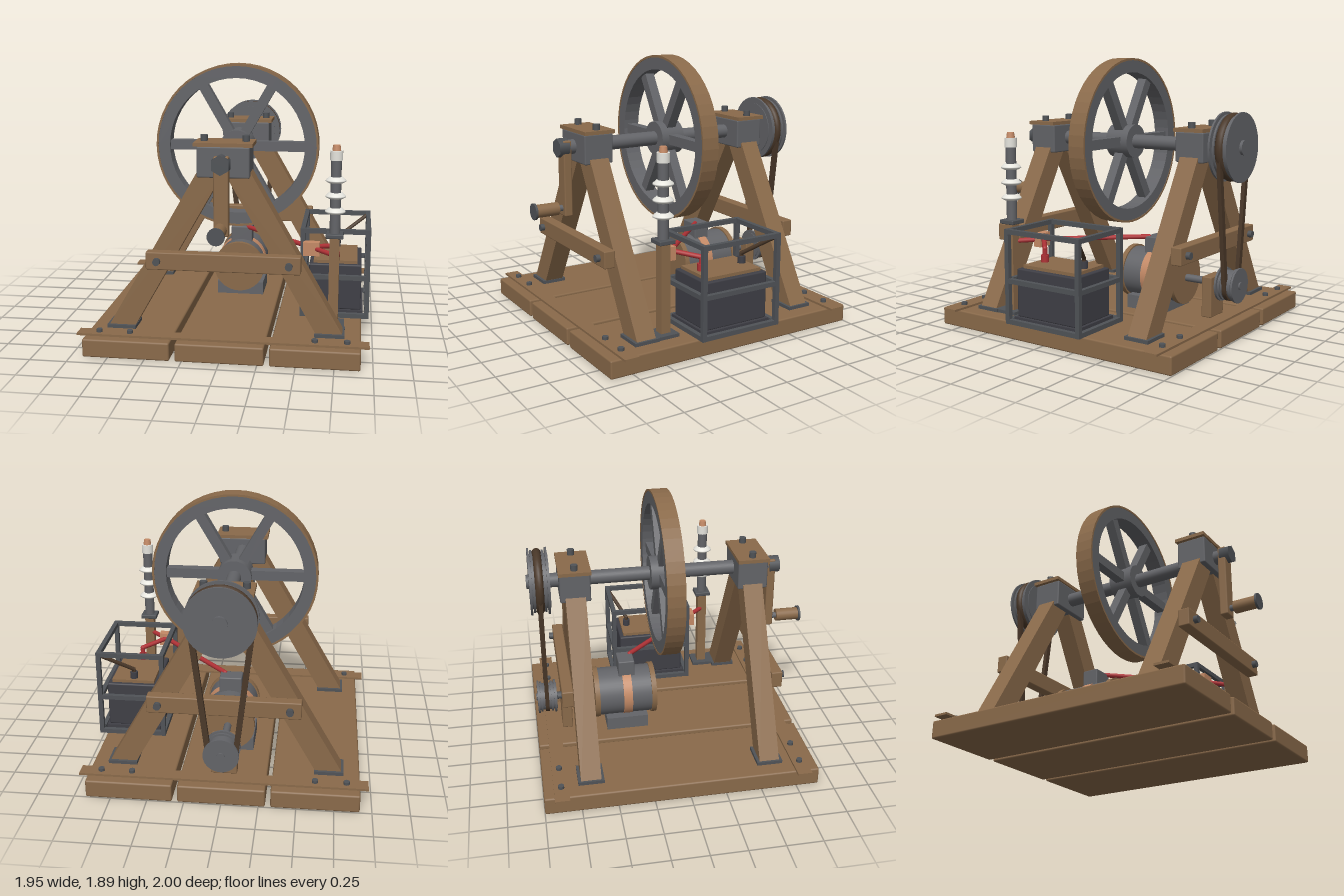
import * as THREE from 'three';
import { RoundedBoxGeometry } from 'three/addons/geometries/RoundedBoxGeometry.js';

const mat = (name, color, side = THREE.FrontSide) => {
  const m = new THREE.MeshStandardMaterial({ color, side });
  m.name = name;
  return m;
};

export function createModel() {
  const wood = mat('wood', 0x8a6a4a);
  const steel = mat('steel', 0x636468);
  const darkSteel = mat('darkSteel', 0x505357);
  const black = mat('batteryCase', 0x3f3f46);
  const belting = mat('darkLeather', 0x4a3829);
  const red = mat('redInsulation', 0xb03236);
  const copper = mat('copper', 0xc48a66);
  const white = mat('porcelain', 0xe6e5de);

  const model = new THREE.Group();
  model.name = 'flywheelGenerator';
  const add = (name, geo, m, x = 0, y = 0, z = 0, parent = model) => {
    const mesh = new THREE.Mesh(geo, m);
    mesh.name = name;
    mesh.position.set(x, y, z);
    parent.add(mesh);
    return mesh;
  };
  // Boxes are given by their limits on each axis
  const box = (name, m, x0, x1, y0, y1, z0, z1, r = 0) => {
    const s = [x1 - x0, y1 - y0, z1 - z0];
    const geo = r ? new RoundedBoxGeometry(...s, 1, r) : new THREE.BoxGeometry(...s);
    return add(name, geo, m, (x0 + x1) / 2, (y0 + y1) / 2, (z0 + z1) / 2);
  };
  const rodY = (name, m, r, x, z, y0, y1, n = 20, rTop = r) =>
    add(name, new THREE.CylinderGeometry(rTop, r, y1 - y0, n), m, x, (y0 + y1) / 2, z);
  const rodZ = (name, m, r, x, y, z0, z1, n = 32) =>
    add(name, new THREE.CylinderGeometry(r, r, z1 - z0, n).rotateX(Math.PI / 2), m, x, y, (z0 + z1) / 2);
  const wire = (name, m, r, pts) => {
    const path = new THREE.CurvePath();
    const v = pts.map(p => new THREE.Vector3(...p));
    for (let i = 1; i < v.length; i++) path.add(new THREE.LineCurve3(v[i - 1], v[i]));
    add(name, new THREE.TubeGeometry(path, 24, r, 10), m);
    for (const p of pts) add(name + 'Joint', new THREE.SphereGeometry(r, 10, 8), m, ...p);
  };
  const extrude = (shape, z0, z1, n = 24) =>
    new THREE.ExtrudeGeometry(shape, { depth: z1 - z0, bevelEnabled: false, curveSegments: n }).translate(0, 0, z0);
  const ring = (outer, inner) => {
    const s = new THREE.Shape().absarc(0, 0, outer, 0, Math.PI * 2);
    s.holes.push(new THREE.Path().absarc(0, 0, inner, 0, Math.PI * 2, true));
    return s;
  };

  // Plank base with two bolted battens
  for (const [x0, x1] of [[-0.92, -0.33], [-0.295, 0.295], [0.33, 0.92]])
    box('basePlank', wood, x0, x1, 0, 0.125, -1, 0.91, 0.012);
  for (const z of [-0.88, 0.79]) {
    box('batten', wood, -0.975, 0.975, 0.125, 0.14, z - 0.05, z + 0.05);
    for (const x of [-0.83, -0.62, 0.62, 0.83]) rodY('battenBolt', darkSteel, 0.021, x, z, 0.14, 0.16, 12);
  }

  // Two A-frames with bearing blocks; out is the outward z direction
  const legShape = new THREE.Shape([[-0.805, 0.13], [-0.625, 0.13], [0.005, 1.24], [-0.17, 1.24]]
    .map(p => new THREE.Vector2(...p)));
  for (const [z, out] of [[0.583, 1], [-0.672, -1]]) {
    for (const side of [-1, 1]) {
      const leg = add('leg', extrude(legShape, -0.07, 0.07), wood, 0, 0, z);
      if (side > 0) leg.rotation.y = Math.PI;
      box('footPlate', darkSteel, side * 0.71 - 0.1, side * 0.71 + 0.1, 0.125, 0.148, z - 0.09, z + 0.09);
      rodY('capBolt', darkSteel, 0.025, side * 0.14, z, 1.42, 1.465, 12);
      const face = z + out * 0.15;
      rodZ('crossbarBolt', darkSteel, 0.025, side * 0.44, 0.63, face - 0.03, face + 0.03, 12);
    }
    box('bearingBlock', steel, -0.175, 0.175, 1.195, 1.4, z - 0.107, z + 0.107, 0.01);
    box('bearingCap', wood, -0.195, 0.195, 1.4, 1.425, z - 0.113, z + 0.113);
    const c = z + out * 0.11;
    box('crossbar', wood, -0.517, 0.517, 0.57, 0.69, c - 0.04, c + 0.04, 0.008);
  }

  // Main shaft and flywheel
  rodZ('mainShaft', steel, 0.05, 0, 1.3, -1, 0.8);
  const wheel = new THREE.Group();
  wheel.name = 'flywheel';
  wheel.position.set(0, 1.3, -0.043);
  model.add(wheel);
  add('wheelTyre', extrude(ring(0.59, 0.575), -0.063, 0.063), wood, 0, 0, 0, wheel);
  add('wheelRim', extrude(ring(0.575, 0.49), -0.06, 0.06), steel, 0, 0, 0, wheel);
  add('wheelHub', new THREE.CylinderGeometry(0.12, 0.12, 0.18, 32).rotateX(Math.PI / 2), steel, 0, 0, 0, wheel);
  for (let i = 0; i < 6; i++)
    add('spoke', new THREE.BoxGeometry(0.42, 0.07, 0.07).translate(0.3, 0, 0), steel, 0, 0, 0, wheel)
      .rotation.z = i * Math.PI / 3;

  // Hand crank
  rodZ('crankNut', darkSteel, 0.066, 0, 1.3, 0.74, 0.815, 6);
  box('crankArm', wood, -0.05, 0.05, 0.825, 1.35, 0.725, 0.785, 0.01);
  rodZ('handlePin', steel, 0.022, 0, 0.88, 0.78, 0.985, 16);
  rodZ('handleGrip', wood, 0.045, 0, 0.88, 0.82, 0.985, 24);
  rodZ('handleCap', darkSteel, 0.057, 0, 0.88, 0.985, 1, 24);

  // Pulleys and belt
  const pulley = (name, y, r) => {
    rodZ(name + 'Core', steel, r * 0.82, 0, y, -0.98, -0.84);
    for (const [z, s] of [[-0.852, 1], [-0.875, 0.93], [-0.953, 0.93], [-0.974, 1]])
      rodZ(name + 'Flange', steel, r * s, 0, y, z - 0.007, z + 0.007, 40);
  };
  pulley('largePulley', 1.3, 0.235);
  pulley('smallPulley', 0.36, 0.12);
  const loop = (Type, R, r) => {
    const a = Math.asin((R - r) / 0.94);
    return new Type().absarc(0, 1.3, R, -a, Math.PI + a).absarc(0, 0.36, r, Math.PI + a, Math.PI * 2 - a);
  };
  const beltShape = loop(THREE.Shape, 0.222, 0.112);
  beltShape.holes.push(loop(THREE.Path, 0.184, 0.074));
  add('driveBelt', extrude(beltShape, -0.928, -0.9), belting);
  add('beltWrap', new THREE.TorusGeometry(0.202, 0.03, 10, 40), belting, 0, 1.3, -0.914);

  // Generator with saddle, band and terminal box
  rodZ('generatorBody', steel, 0.177, 0, 0.36, -0.55, -0.13, 40);
  for (const z of [-0.548, -0.128]) rodZ('generatorEndCap', wood, 0.188, 0, 0.36, z - 0.018, z + 0.018, 40);
  rodZ('generatorBand', copper, 0.183, 0, 0.36, -0.355, -0.29, 40);
  rodZ('generatorShaft', steel, 0.026, 0, 0.36, -0.99, -0.55, 20);
  box('generatorSaddle', steel, -0.175, 0.175, 0.125, 0.22, -0.485, -0.18);
  box('terminalBox', steel, -0.08, 0.08, 0.5, 0.635, -0.38, -0.26, 0.008);
  box('shaftSupport', wood, -0.09, 0.09, 0.125, 0.41, -0.81, -0.735, 0.008);

  // Battery inside an open cage
  box('batteryCase', black, 0.545, 0.915, 0.17, 0.5, -0.285, 0.21, 0.01);
  box('batteryTray', black, 0.53, 0.93, 0.125, 0.17, -0.3, 0.225);
  box('batteryLid', wood, 0.575, 0.885, 0.5, 0.522, -0.255, 0.18);
  const [cx0, cx1, cz0, cz1, t] = [0.5, 0.957, -0.335, 0.25, 0.016];
  for (const x of [cx0, cx1])
    for (const z of [cz0, cz1]) box('cagePost', darkSteel, x - t, x + t, 0.125, 0.77, z - t, z + t);
  for (const y of [0.142, 0.42, 0.753]) {
    for (const x of [cx0, cx1]) box('cageSideRail', darkSteel, x - t, x + t, y - t, y + t, cz0, cz1);
    for (const z of [cz0, cz1]) box('cageEndRail', darkSteel, cx0, cx1, y - t, y + t, z - t, z + t);
  }
  rodY('positiveTerminal', red, 0.028, 0.73, 0.12, 0.52, 0.57);
  rodY('negativeTerminal', black, 0.028, 0.73, -0.21, 0.52, 0.57);

  // Wiring
  wire('mainWire', red, 0.017, [[0.05, 0.63, -0.28], [0.57, 0.635, 0.27], [0.7, 0.63, 0.4]]);
  wire('batteryWire', red, 0.017, [[0.73, 0.55, 0.12], [0.73, 0.615, 0.12], [0.57, 0.64, 0.26]]);
  wire('groundWire', belting, 0.014, [[0.73, 0.55, -0.21], [0.73, 0.59, -0.21], [0.945, 0.74, -0.325]]);
  box('junctionBlock', copper, 0.505, 0.62, 0.585, 0.68, 0.25, 0.31);

  // Insulator post
  const [px, pz] = [0.725, 0.415];
  box('postBase', darkSteel, px - 0.078, px + 0.078, 0.125, 0.148, pz - 0.078, pz + 0.078);
  box('post', wood, px - 0.034, px + 0.034, 0.14, 0.76, pz - 0.034, pz + 0.034);
  box('postCap', darkSteel, px - 0.06, px + 0.06, 0.755, 0.785, pz - 0.06, pz + 0.06, 0.006);
  rodY('insulatorRod', steel, 0.036, px, pz, 0.78, 1.29);
  const shed = [[0.03, -0.02], [0.05, -0.02], [0.07, -0.008], [0.068, 0], [0.045, 0.02], [0.03, 0.022]]
    .map(p => new THREE.Vector2(...p));
  for (const y of [0.94, 1.045, 1.152]) add('insulatorShed', new THREE.LatheGeometry(shed, 28), white, px, y, pz);
  rodY('insulatorHead', white, 0.043, px, pz, 1.285, 1.35);
  rodY('contactTip', copper, 0.03, px, pz, 1.35, 1.388, 16, 0.024);

  return model;
}
